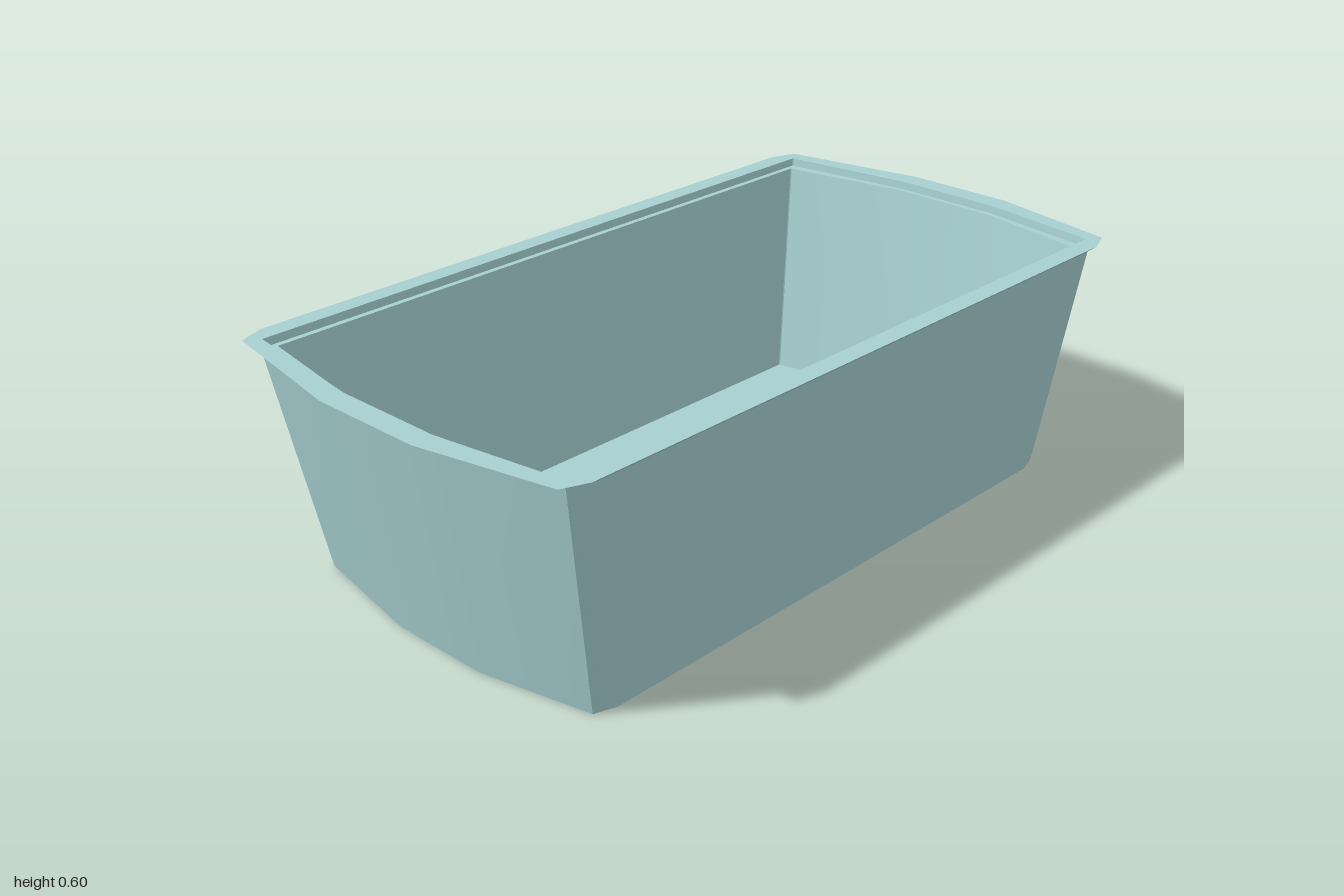
import * as THREE from 'three';
import { toCreasedNormals } from 'three/addons/utils/BufferGeometryUtils.js';

const material = new THREE.MeshStandardMaterial({ color: 0xa6cfd1 });

// One horizontal outline: a slightly bowed end (mid) and a chamfer (c to k) at each corner
function ring(y, mid, zHalf, [cx, cz], [kx, kz]) {
  const end = [[kx, -kz], [cx, -cz], [mid, -zHalf], [mid, zHalf + 0.035], [cx, cz], [kx, kz]];
  const opposite = end.map(([x, z]) => [-x, z]).reverse();
  return [...end, ...opposite].map(([x, z]) => new THREE.Vector3(x, y, z));
}

// All points gathered in the middle, to close a floor
const centre = (y) => Array.from({ length: 12 }, () => new THREE.Vector3(0, y, 0));

// Skin between consecutive outlines
function loft(name, rings) {
  const pos = [];
  const tri = (a, b, c) => {
    if (a.equals(b) || b.equals(c) || c.equals(a)) return;
    for (const p of [a, b, c]) pos.push(p.x, p.y, p.z);
  };
  for (let i = 0; i < rings.length - 1; i++) {
    const low = rings[i], high = rings[i + 1];
    for (let j = 0; j < low.length; j++) {
      const n = (j + 1) % low.length;
      tri(low[j], high[j], high[n]);
      tri(low[j], high[n], low[n]);
    }
  }
  const geometry = new THREE.BufferGeometry();
  geometry.setAttribute('position', new THREE.Float32BufferAttribute(pos, 3));
  const mesh = new THREE.Mesh(toCreasedNormals(geometry, 0.5), material);
  mesh.name = name;
  return mesh;
}

export function createModel() {
  const model = new THREE.Group();
  model.name = 'tub';

  const foot = ring(0, 0.855, 0.115, [0.795, 0.44], [0.74, 0.458]);
  const footTop = ring(0.02, 0.859, 0.115, [0.799, 0.442], [0.744, 0.46]);
  const underRim = ring(0.585, 0.96, 0.125, [0.897, 0.495], [0.835, 0.518]);
  const rimEdge = ring(0.6, 1, 0.13, [0.93, 0.51], [0.865, 0.535]);
  const rimInner = ring(0.6, 0.942, 0.125, [0.895, 0.483], [0.892, 0.485]);
  const ledgeOuter = ring(0.58, 0.94, 0.125, [0.892, 0.481], [0.889, 0.483]);
  const ledgeInner = ring(0.58, 0.925, 0.125, [0.868, 0.466], [0.865, 0.468]);
  const floorEdge = ring(0.02, 0.822, 0.112, [0.772, 0.413], [0.769, 0.415]);

  // Tapered outside with closed base
  model.add(loft('outerWall', [centre(0), foot, footTop, underRim]));
  // Flared lip with a flat top and small inner step
  model.add(loft('rim', [underRim, rimEdge, rimInner, ledgeOuter, ledgeInner]));
  // Inside walls and floor
  model.add(loft('innerWall', [ledgeInner, floorEdge, centre(0.02)]));
  return model;
}
